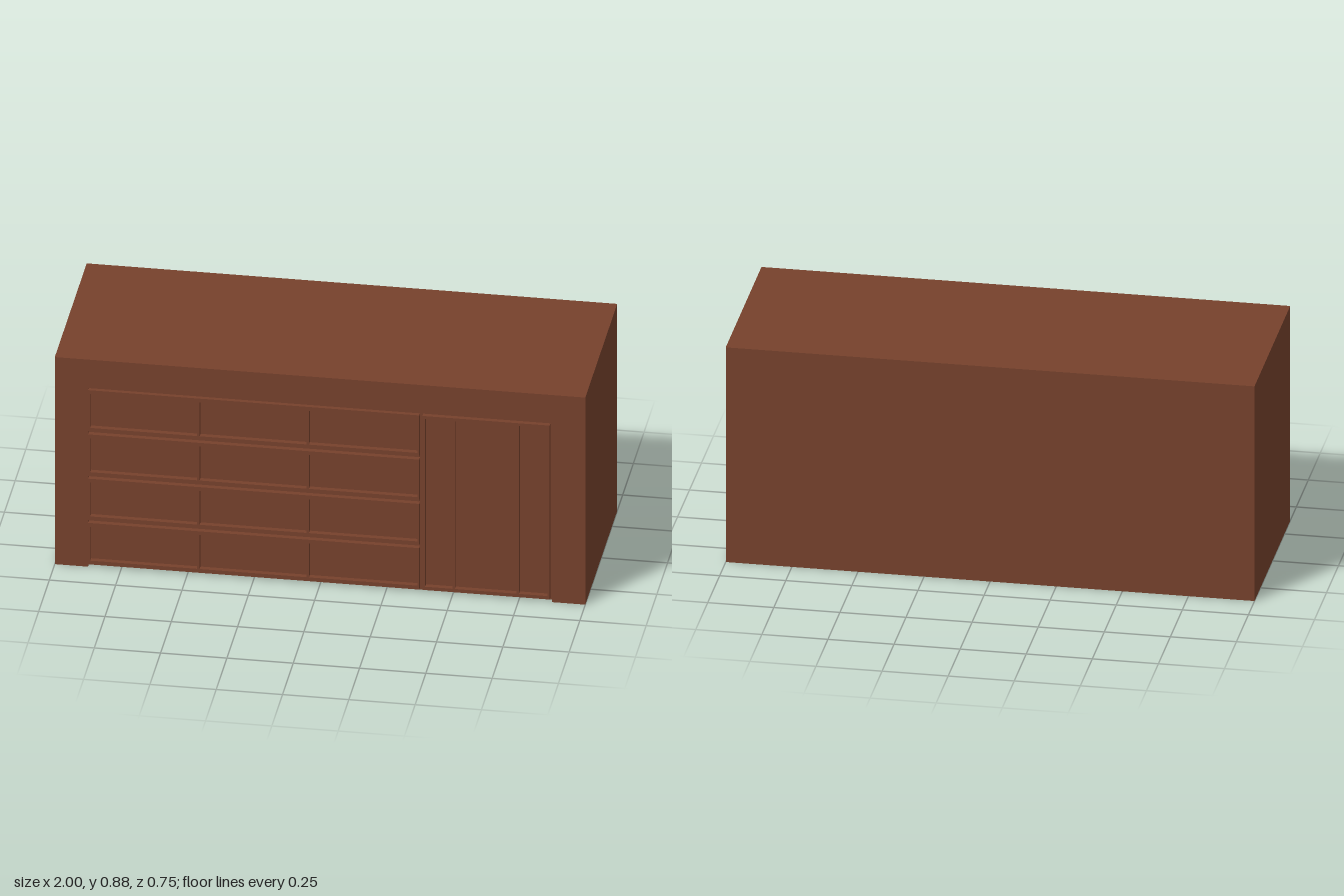
import * as THREE from 'three';

const FRONT = 0.373;   // front plane
const DEPTH = 0.02;    // depth of grooves and panel recesses

// Counter-clockwise rectangle outline
const rect = (x0, y0, x1, y1) => [[x0, y0], [x1, y0], [x1, y1], [x0, y1]].map(p => new THREE.Vector2(...p));

export function createModel() {
  const group = new THREE.Group();
  const brown = new THREE.MeshStandardMaterial({ color: 0x76412c });
  brown.name = 'brown';

  const add = (name, geometry) => {
    const mesh = new THREE.Mesh(geometry, brown);
    mesh.name = name;
    group.add(mesh);
    return mesh;
  };

  // Slab flush with the front, with optional rectangular recesses
  const slab = (name, points, recesses = []) => {
    const shape = new THREE.Shape(points);
    for (const r of recesses) shape.holes.push(new THREE.Path(rect(...r).reverse()));
    const geometry = new THREE.ExtrudeGeometry(shape, { depth: DEPTH, bevelEnabled: false });
    geometry.translate(0, 0, FRONT - DEPTH);
    return add(name, geometry);
  };

  // Solid building block, set back behind the front slabs
  const bodyDepth = 2 * FRONT - DEPTH;
  add('body', new THREE.BoxGeometry(2, 0.875, bodyDepth)).position.set(0, 0.4375, -DEPTH / 2);

  // Front wall around the doors
  slab('frontWall', [
    [-1, 0], [-0.875, 0], [-0.875, 0.755], [0.875, 0.755],
    [0.875, 0], [1, 0], [1, 0.875], [-1, 0.875],
  ].map(p => new THREE.Vector2(...p)));

  // Garage door: four sections with three recessed panels each
  const columns = [[-0.866, -0.463], [-0.454, -0.051], [-0.042, 0.367]];
  for (let i = 0; i < 4; i++) {
    const y = 0.01 + i * 0.187;
    slab('garageDoorSection', rect(-0.875, y, 0.374, y + 0.175),
      columns.map(([x0, x1]) => [x0, y + 0.016, x1, y + 0.159]));
  }

  // Side door with three tall recessed panels
  slab('sideDoor', rect(0.386, 0.01, 0.866, 0.745),
    [[0.396, 0.5], [0.508, 0.741], [0.75, 0.857]].map(([x0, x1]) => [x0, 0.024, x1, 0.733]));

  return group;
}
